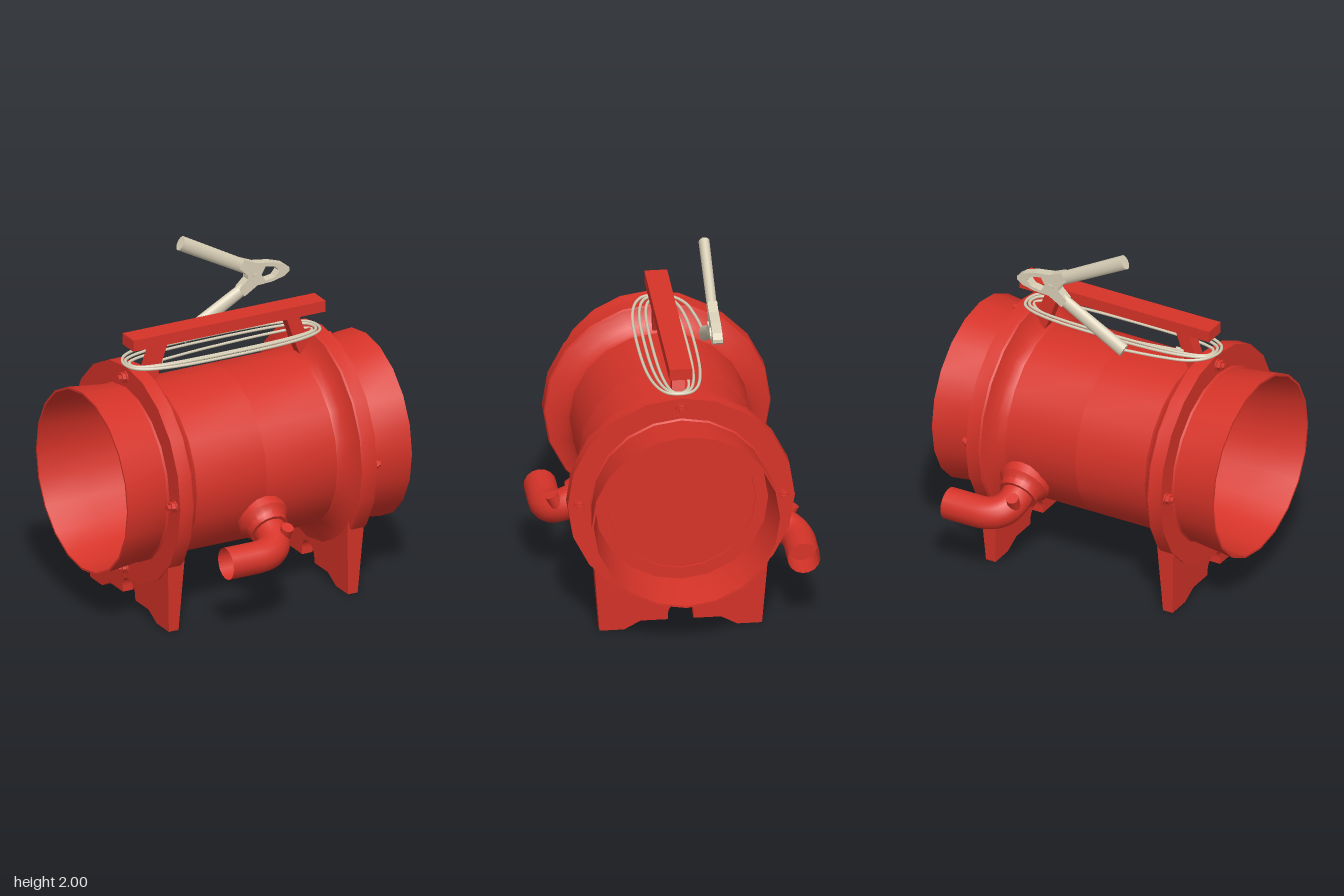
import * as THREE from 'three';
import { toCreasedNormals } from 'three/addons/utils/BufferGeometryUtils.js';

const AXIS_Y = 0.785, SIDES = 20;
const red = new THREE.MeshStandardMaterial({ color: 0xd63328, side: THREE.DoubleSide });
const beige = new THREE.MeshStandardMaterial({ color: 0xd8ceb6, side: THREE.DoubleSide });
const v = (x, y, z) => new THREE.Vector3(x, y, z);

function add(parent, name, geometry, material = red) {
  const mesh = new THREE.Mesh(geometry, material);
  mesh.name = name;
  parent.add(mesh);
  return mesh;
}

// Lathe around the x axis from [x, radius] pairs
function latheX(profile, sides = SIDES) {
  const geo = new THREE.LatheGeometry(profile.map(([x, r]) => new THREE.Vector2(r, x)), sides);
  return toCreasedNormals(geo.rotateZ(-Math.PI / 2), 0.5);
}

// Flat outline with optional hole, centred in depth
function plate(points, depth, hole) {
  const shape = new THREE.Shape(points.map(([x, y]) => new THREE.Vector2(x, y)));
  if (hole) shape.holes.push(new THREE.Path(hole.map(([x, y]) => new THREE.Vector2(x, y))));
  return new THREE.ExtrudeGeometry(shape, { depth, bevelEnabled: false }).translate(0, 0, -depth / 2);
}

// Round bar between two points
function rod(parent, name, a, b, ra, rb, material, sides = 12) {
  const dir = b.clone().sub(a);
  const geo = new THREE.CylinderGeometry(rb, ra, dir.length(), sides);
  const mesh = add(parent, name, toCreasedNormals(geo, 0.7), material);
  mesh.position.copy(a).add(b).multiplyScalar(0.5);
  mesh.quaternion.setFromUnitVectors(v(0, 1, 0), dir.normalize());
  return mesh;
}

// Foot plate, thinner towards the ground
function footPlate() {
  const s = new THREE.Shape();
  s.moveTo(-0.475, 0.4);
  for (const [x, y] of [[-0.445, 0], [-0.31, 0], [-0.22, 0.05], [-0.07, 0.05], [-0.07, 0.09]]) s.lineTo(x, y);
  s.absarc(0, 0.085, 0.07, Math.PI, 0, true);
  for (const [x, y] of [[0.07, 0.05], [0.22, 0.05], [0.31, 0], [0.445, 0], [0.475, 0.4]]) s.lineTo(x, y);
  s.absarc(0, AXIS_Y, 0.59, -0.62, -Math.PI + 0.62, true);
  const geo = new THREE.ExtrudeGeometry(s, { depth: 1, bevelEnabled: false, curveSegments: 12 });
  const p = geo.attributes.position;
  for (let i = 0; i < p.count; i++) {
    const k = Math.min(p.getY(i) / 0.42, 1);
    p.setZ(i, THREE.MathUtils.lerp(0.525 - 0.02 * k, 0.585 + 0.023 * k, p.getZ(i)));
  }
  geo.computeVertexNormals();
  return geo;
}

// Side port with elbow; local z runs outward from the barrel
function sidePort(name) {
  const outer = new THREE.Group();
  outer.name = name;
  const g = new THREE.Group();
  g.position.y = AXIS_Y;
  g.rotation.x = THREE.MathUtils.degToRad(28);
  outer.add(g);

  const collar = [[0.45, 0.145], [0.515, 0.145], [0.53, 0.13], [0.55, 0.115], [0.585, 0.11], [0.585, 0.08]];
  add(g, 'portCollar', latheX(collar, 16).rotateY(-Math.PI / 2));

  const path = new THREE.CurvePath();
  path.add(new THREE.LineCurve3(v(0, 0, 0.5), v(0, 0, 0.59)));
  path.add(new THREE.QuadraticBezierCurve3(v(0, 0, 0.59), v(0, 0, 0.75), v(-0.17, 0, 0.75)));
  path.add(new THREE.LineCurve3(v(-0.17, 0, 0.75), v(-0.35, 0, 0.75)));
  add(g, 'elbowPipe', new THREE.TubeGeometry(path, 28, 0.09, 16));
  const stop = add(g, 'pipeStop', new THREE.CircleGeometry(0.088, 16).rotateY(-Math.PI / 2));
  stop.position.set(-0.2, 0, 0.75);
  rod(g, 'elbowPlug', v(0.035, 0.03, 0.675), v(0.04, 0.11, 0.675), 0.036, 0.036, red, 10);
  return outer;
}

export function createModel() {
  const model = new THREE.Group();
  model.name = 'ductFan';

  // Barrel with flared flanges and conical duct collars
  const half = [[0, 0.49], [0.435, 0.49], [0.455, 0.502], [0.48, 0.53], [0.505, 0.57], [0.52, 0.615], [0.53, 0.622],
    [0.61, 0.622], [0.61, 0.5], [0.62, 0.492], [0.88, 0.522], [0.88, 0.51], [0.62, 0.475], [0, 0.47]];
  for (const s of [1, -1]) {
    const geo = latheX(half);
    if (s < 0) geo.rotateY(Math.PI);
    add(model, s > 0 ? 'leftBarrelHalf' : 'rightBarrelHalf', geo).position.y = AXIS_Y;
  }

  // Bulkhead closing one end
  const bulkhead = latheX([[0.595, 0.476], [0.62, 0.476], [0.62, 0.406], [0.614, 0.405], [0.614, 0]]);
  add(model, 'bulkhead', bulkhead).position.y = AXIS_Y;

  for (const s of [1, -1]) {
    add(model, 'footPlate', footPlate().rotateY(s * Math.PI / 2));

    // Flange bolts
    for (let i = 0; i < 4; i++) {
      const a = i * Math.PI / 2;
      const y = AXIS_Y + 0.56 * Math.sin(a), z = 0.56 * Math.cos(a);
      rod(model, 'boltWasher', v(s * 0.605, y, z), v(s * 0.618, y, z), 0.034, 0.034, red, 12);
      rod(model, 'boltNut', v(s * 0.618, y, z), v(s * 0.64, y, z), 0.029, 0.029, red, 6);
      rod(model, 'boltStud', v(s * 0.64, y, z), v(s * 0.66, y, z), 0.017, 0.017, red, 8);
    }

    // Handle post
    const post = [[0.365, 1.515], [0.445, 1.515], [0.52, 1.31], [0.51, 1.26], [0.46, 1.26], [0.43, 1.33]];
    const geo = plate(post, 0.07);
    if (s < 0) geo.rotateY(Math.PI);
    add(model, 'handlePost', geo);
  }
  add(model, 'handleBar', new THREE.BoxGeometry(1.19, 0.065, 0.125)).position.y = 1.544;

  // Side ports, one per side, pointing opposite ways
  model.add(sidePort('frontPort'));
  const back = sidePort('backPort');
  back.rotation.y = Math.PI;
  back.position.x = 0.345;
  model.add(back);

  // Coiled cable: starts at a plug under the handle, winds outward, ends at the clamp
  const pts = [v(-0.38, 1.385, -0.03), v(-0.1, 1.383, -0.065), v(0.3, 1.39, -0.07), v(0.48, 1.395, -0.05)];
  const turns = 2.5, steps = 22;
  for (let i = 0; i <= turns * steps; i++) {
    const t = i / steps, a = t * Math.PI * 2;
    const c = Math.cos(a), s = Math.sin(a), k = t / turns;
    pts.push(v(
      -0.015 + Math.sign(c) * Math.abs(c) ** 0.7 * (0.555 + 0.045 * k),
      1.402 + 0.014 * Math.min(1, k * 2),
      Math.sign(s) * Math.abs(s) ** 0.7 * (0.075 + 0.1 * k)));
  }
  pts.push(v(-0.58, 1.416, -0.09), v(-0.5, 1.415, -0.15), v(-0.36, 1.413, -0.185), v(-0.15, 1.41, -0.213));
  add(model, 'cable', new THREE.TubeGeometry(new THREE.CatmullRomCurve3(pts), 360, 0.0085, 6), beige);
  rod(model, 'cablePlug', v(-0.42, 1.386, -0.03), v(-0.37, 1.386, -0.03), 0.017, 0.017, beige);

  // Spring clamp
  const clamp = new THREE.Group();
  clamp.name = 'clamp';
  clamp.position.z = -0.213;
  model.add(clamp);
  rod(clamp, 'upperGrip', v(-0.153, 1.963, 0), v(0.28, 1.727, 0), 0.042, 0.038, beige, 16).scale.z = 0.72;
  rod(clamp, 'lowerGrip', v(-0.147, 1.406, 0), v(0.27, 1.638, 0), 0.042, 0.036, beige, 16).scale.z = 0.72;
  const jaw = [[0.2, 1.75], [0.25, 1.7], [0.25, 1.678], [0.2, 1.63], [0.23, 1.583], [0.31, 1.632], [0.4, 1.637],
    [0.475, 1.655], [0.508, 1.68], [0.508, 1.7], [0.475, 1.725], [0.4, 1.75], [0.3, 1.765], [0.23, 1.795]];
  const gap = [[0.335, 1.69], [0.36, 1.733], [0.42, 1.72], [0.445, 1.69], [0.42, 1.66], [0.36, 1.65]];
  add(clamp, 'jaws', plate(jaw, 0.054, gap), beige);
  rod(clamp, 'pivotPin', v(0.3, 1.69, -0.034), v(0.3, 1.69, 0.034), 0.018, 0.018, beige, 10);

  return model;
}
